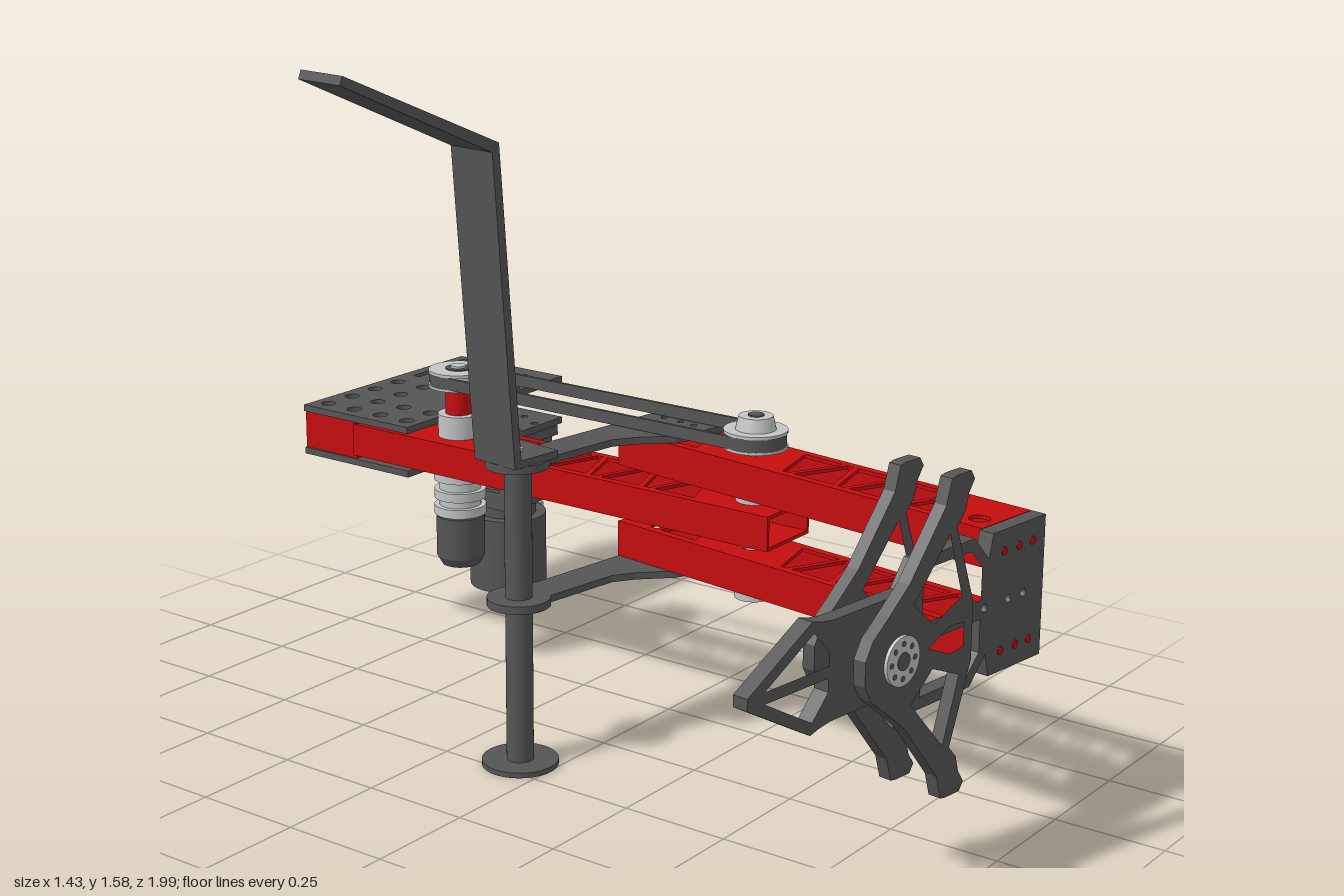
import * as THREE from 'three';
import { RoundedBoxGeometry } from 'three/addons/geometries/RoundedBoxGeometry.js';

const mat = (name, color) => Object.assign(new THREE.MeshStandardMaterial({ color }), { name });

export function createModel() {
  const dark = mat('dark grey metal', 0x555555);
  const red = mat('red aluminium', 0xc40c0e);
  const light = mat('light grey metal', 0xc2c6c6);
  const model = new THREE.Group();
  model.name = 'pivoting arm';

  // ---------- helpers ----------
  const add = (parent, name, geo, material, x = 0, y = 0, z = 0) => {
    const m = new THREE.Mesh(geo, material);
    m.name = name;
    m.position.set(x, y, z);
    parent.add(m);
    return m;
  };
  const box = (p, name, m, x0, x1, y0, y1, z0, z1) =>
    add(p, name, new THREE.BoxGeometry(x1 - x0, y1 - y0, z1 - z0), m, (x0 + x1) / 2, (y0 + y1) / 2, (z0 + z1) / 2);
  const rod = (p, name, m, r, y0, y1, x, z, r2 = r) =>
    add(p, name, new THREE.CylinderGeometry(r2, r, y1 - y0, 32), m, x, (y0 + y1) / 2, z);
  const rodZ = (p, name, m, r, z0, z1, x, y) =>
    add(p, name, new THREE.CylinderGeometry(r, r, z1 - z0, 28).rotateX(Math.PI / 2), m, x, y, (z0 + z1) / 2);
  const path = pts => new THREE.Path(pts.map(p => new THREE.Vector2(...p)));
  const circle = (x, y, r) => new THREE.Path().absarc(x, y, r, 0, Math.PI * 2);
  const poly = (pts, holes = []) => {
    const s = new THREE.Shape(pts.map(p => new THREE.Vector2(...p)));
    s.holes.push(...holes);
    return s;
  };
  const rect = (x0, x1, y0, y1) => [[x0, y0], [x1, y0], [x1, y1], [x0, y1]];
  const flip = pts => pts.map(([x, y]) => [x, -y]);
  const mirrored = half => [...half, ...flip(half).reverse()];
  const extrude = (shape, depth) => new THREE.ExtrudeGeometry(shape, { depth, bevelEnabled: false, curveSegments: 16 });
  // horizontal plate drawn in (x, z), its top at the given height
  const flat = (p, name, m, shape, top, depth) =>
    add(p, name, extrude(shape, depth).rotateX(Math.PI / 2), m, 0, top, 0);

  // alternating triangular cut-outs between z0 and z1
  const truss = (cx, w, z0, z1) => {
    const holes = [], pitch = 0.075, h = w - 0.02;
    for (let z = z0, s = 1; z + 2 * pitch <= z1 + 0.001; z += pitch, s = -s) {
      holes.push(path([[cx + s * h, z + 0.022], [cx + s * h, z + 2 * pitch - 0.022],
        [cx - s * h, z + pitch + 0.008], [cx - s * h, z + pitch - 0.008]]));
    }
    return holes;
  };
  // open rectangular tube along z with lightened top and bottom
  const tube = (p, name, cx, w, y0, y1, z0, z1, holes) => {
    const g = new THREE.Group(), t = 0.008;
    g.name = name;
    p.add(g);
    for (const top of [y1, y0 + t]) flat(g, 'trussFace', red, poly(rect(cx - w, cx + w, z0, z1), holes), top, t);
    for (const s of [-1, 1]) {
      const x = cx + s * (w - t / 2);
      box(g, 'sideWall', red, x - t / 2, x + t / 2, y0 + t, y1 - t, z0, z1);
    }
  };

  // ---------- base with gearbox plates ----------
  const base = new THREE.Group();
  base.name = 'base';
  model.add(base);
  const plateHoles = [];
  for (let r = 0; r < 4; r++) for (let c = 0; c < 7; c++) {
    if ((r > 1 && c > 1) || (r === 0 && (c === 4 || c === 5))) continue;
    plateHoles.push(circle(0.15 + c * 0.085, -0.96 + r * 0.085, 0.018));
  }
  plateHoles.push(path(rect(0.475, 0.59, -0.97, -0.95)));
  for (const z of [-0.785, -0.72]) plateHoles.push(circle(0.425, z, 0.013));
  for (let i = 0; i < 6; i++) {
    const a = i * Math.PI / 3;
    plateHoles.push(circle(0.575 + 0.07 * Math.cos(a), -0.745 + 0.07 * Math.sin(a), 0.009));
  }
  for (const y of [0.598, 0.49]) flat(base, 'basePlate', dark, poly(rect(0.105, 0.7, -1, -0.665), plateHoles), y, 0.016);
  const bores = [0.32, 0.41, 0.5, 0.66].map(x => circle(x, 0.535, 0.01));
  for (const z of [-0.999, -0.84])
    add(base, 'crossTubeWall', extrude(poly(rect(0.11, 0.695, 0.49, 0.582), bores), 0.008), red, 0, 0, z);
  for (const x of [0.11, 0.687]) box(base, 'crossTubeEnd', red, x, x + 0.008, 0.49, 0.582, -0.991, -0.84);
  for (const z of [-0.95, -0.91, -0.87])
    add(base, 'endHole', new THREE.CylinderGeometry(0.01, 0.01, 0.004, 16).rotateZ(Math.PI / 2), dark, 0.695, 0.535, z);

  // ---------- large drive motor ----------
  const mx = 0.575, mz = -0.745;
  rod(base, 'motorShaft', dark, 0.024, 0.46, 0.603, mx, mz);
  rod(base, 'motorShaftTip', light, 0.012, 0.6, 0.606, mx, mz);
  rod(base, 'motorCan', dark, 0.098, 0.065, 0.255, mx, mz);
  rod(base, 'motorNeck', dark, 0.072, 0.255, 0.44, mx, mz);
  box(base, 'gearboxFlange', dark, mx - 0.1, mx + 0.1, 0.45, 0.474, mz - 0.085, mz + 0.085);
  box(base, 'gearboxStage', dark, mx - 0.085, mx + 0.085, 0.285, 0.33, mz - 0.075, mz + 0.075);
  for (const sx of [-1, 1]) for (const sz of [-1, 1]) {
    const x = mx + sx * 0.065, z = mz + sz * 0.06;
    box(base, 'gearboxPost', dark, x - 0.02, x + 0.02, 0.33, 0.45, z - 0.018, z + 0.018);
    for (const y of [0.3, 0.36, 0.42]) rodZ(base, 'gearboxScrew', light, 0.008, z - 0.02, z + 0.02, x, y);
  }
  box(base, 'motorTerminal', dark, 0.65, 0.7, 0.232, 0.246, mz - 0.01, mz + 0.01);
  box(base, 'motorTerminalTip', light, 0.7, 0.712, 0.232, 0.246, mz - 0.008, mz + 0.008);
  box(base, 'redTerminal', red, 0.655, 0.685, 0.236, 0.25, mz - 0.035, mz - 0.018);

  // ---------- lower arm ----------
  const px = 0.19, pz = 0.27, bz = -0.575;
  tube(model, 'lowerArm', 0.188, 0.0825, 0.498, 0.577, -0.84, 0.36,
    [...truss(0.188, 0.0825, -0.5, 0.18), circle(px, pz, 0.03)]);

  // ---------- small motor and belt drive ----------
  const drive = new THREE.Group();
  drive.name = 'beltDrive';
  model.add(drive);
  rod(drive, 'smallMotorCap', dark, 0.045, 0.258, 0.28, px, bz, 0.058);
  rod(drive, 'smallMotor', dark, 0.058, 0.28, 0.38, px, bz);
  rod(drive, 'planetaryStage', light, 0.05, 0.38, 0.498, px, bz);
  for (const y of [0.385, 0.425, 0.47]) rod(drive, 'planetaryRing', light, 0.062, y, y + 0.022, px, bz);
  rod(drive, 'gearHead', light, 0.05, 0.577, 0.632, px, bz);
  rod(drive, 'redCoupling', red, 0.032, 0.632, 0.7, px, bz);
  add(drive, 'motorBlock', new RoundedBoxGeometry(0.1, 0.04, 0.085, 3, 0.014), light, 0.262, 0.612, -0.583);
  const loop = (r, C) => {
    const s = new C();
    s.absarc(px, pz, r, 0, Math.PI);
    s.absarc(px, bz, r, Math.PI, Math.PI * 2);
    s.closePath();
    return s;
  };
  const belt = loop(0.068, THREE.Shape);
  belt.holes.push(loop(0.06, THREE.Path));
  flat(drive, 'belt', dark, belt, 0.733, 0.028);
  for (const z of [pz, bz]) {
    rod(drive, 'pulley', light, 0.0595, 0.703, 0.734, px, z);
    rod(drive, 'pulleyFlange', light, 0.071, 0.733, 0.74, px, z);
    rod(drive, 'pulleyFlange', light, 0.071, 0.699, 0.705, px, z);
    rod(drive, 'pulleyRing', dark, 0.03, 0.74, 0.743, px, z);
    rod(drive, 'pulleyBore', light, 0.018, 0.74, 0.748, px, z);
  }
  rod(drive, 'pivotHub', light, 0.045, 0.74, 0.77, px, pz, 0.038);
  rod(drive, 'pivotHubBore', dark, 0.018, 0.77, 0.773, px, pz);
  rod(drive, 'pivotShaft', light, 0.018, 0.355, 0.74, px, pz);
  for (const y of [0.355, 0.479, 0.578]) rod(drive, 'pivotCollar', light, 0.042, y, y + 0.024, px, pz);

  // ---------- swinging assembly, local origin on the pivot ----------
  const swing = new THREE.Group();
  swing.name = 'swingArm';
  swing.position.set(px, 0, pz);
  swing.rotation.y = -0.125;
  model.add(swing);
  const armHoles = [...truss(0, 0.0825, -0.32, -0.07), circle(0, 0, 0.03),
    ...truss(0, 0.0825, 0.065, 0.6), circle(-0.035, 0.625, 0.022)];
  for (const [y0, y1] of [[0.605, 0.686], [0.39, 0.472]])
    tube(swing, 'upperArm', 0, 0.0825, y0, y1, -0.335, 0.667, armHoles);

  // support plates reaching out to the post
  const cx = -0.43, cz = -0.298;
  const bracketHoles = [-0.04, 0, 0.04].flatMap(x => [-0.29, -0.24, -0.2].map(z => circle(x + 0.02, z, 0.008)));
  for (const y of [0.703, 0.389]) {
    flat(swing, 'supportPlate', dark, poly([[0.08, -0.335], [0.08, -0.165], [0.07, -0.155], [-0.025, -0.155], [-0.07, -0.17],
      [-0.14, -0.225], [-0.19, -0.25], [cx, -0.255], [cx, -0.34], [-0.1, -0.335]], bracketHoles), y, 0.016);
    rod(swing, 'supportEye', dark, 0.07, y - 0.017, y + 0.001, cx, cz);
  }

  // post with round foot
  rod(swing, 'post', dark, 0.03, 0.01, 0.705, cx, cz);
  rod(swing, 'foot', dark, 0.085, 0, 0.012, cx, cz);

  // bent strip rising from the post
  add(swing, 'bentStrip', extrude(poly([[-0.37, 0.703], [-0.497, 0.703], [-0.552, 1.385], [-0.945, 1.562],
    [-0.938, 1.58], [-0.533, 1.403], [-0.478, 0.72], [-0.37, 0.72]]), 0.124), dark, 0, 0, cz - 0.062);
  rod(swing, 'stripBolt', light, 0.012, 0.72, 0.726, cx, cz);

  // ---------- end plate and claws, local origin on the claw hub ----------
  const end = new THREE.Group();
  end.name = 'endTool';
  end.position.set(-0.453, 0.535, 0.684);
  swing.add(end);
  const tipWindow = [[-0.32, 0.012], [-0.185, 0.088], [-0.14, 0.04], [-0.14, 0.012]];
  const frameWindow = [[0.14, 0.02], [0.14, 0.13], [0.29, 0.13], [0.328, 0.09], [0.328, 0.02]];
  const boltXs = [0.4, 0.45, 0.495];
  const endHoles = [tipWindow, flip(tipWindow), frameWindow, flip(frameWindow)].map(path);
  endHoles.push(...[0.34, 0.42, 0.47].map(x => circle(x, 0, 0.009)));
  add(end, 'endPlate', extrude(poly(mirrored([[-0.368, 0.012], [-0.19, 0.112], [-0.165, 0.105], [-0.13, 0.1], [0.08, 0.1],
    [0.12, 0.155], [0.3, 0.155], [0.35, 0.1], [0.362, 0.15], [0.538, 0.15]]), endHoles), 0.034), dark, 0, 0, -0.017);
  for (const x of boltXs) for (const y of [-0.105, 0.105]) rodZ(end, 'plateBolt', red, 0.009, 0.016, 0.019, x, y);

  const clawWindow = [[0.035, 0.1], [0.14, 0.215], [0.185, 0.08], [0.1, 0.045]];
  const claw = poly(mirrored([[-0.105, 0.025], [-0.085, 0.06], [-0.04, 0.095], [0.02, 0.145], [0.125, 0.275], [0.14, 0.325],
    [0.155, 0.328], [0.2, 0.328], [0.212, 0.31], [0.195, 0.285], [0.185, 0.25], [0.162, 0.225], [0.222, 0.06]]),
  [path(clawWindow), path(flip(clawWindow)), path([[0.085, 0], [0.15, 0.028], [0.195, 0.025], [0.195, -0.025], [0.15, -0.028]])]);
  for (const s of [-1, 1]) {
    add(end, 'claw', extrude(claw, 0.028), dark, 0, 0, s * 0.061 - 0.014);
    const z = s * 0.078;
    rodZ(end, 'hubDisc', light, 0.05, z - 0.004, z + 0.004, 0, 0);
    rodZ(end, 'hubBore', dark, 0.018, z - 0.006, z + 0.006, 0, 0);
    for (let i = 0; i < 8; i++) {
      const a = i * Math.PI / 4;
      rodZ(end, 'hubHole', dark, 0.006, z - 0.005, z + 0.005, 0.035 * Math.cos(a), 0.035 * Math.sin(a));
    }
  }
  rodZ(end, 'clawAxle', dark, 0.04, -0.06, 0.06, 0, 0);
  return model;
}
